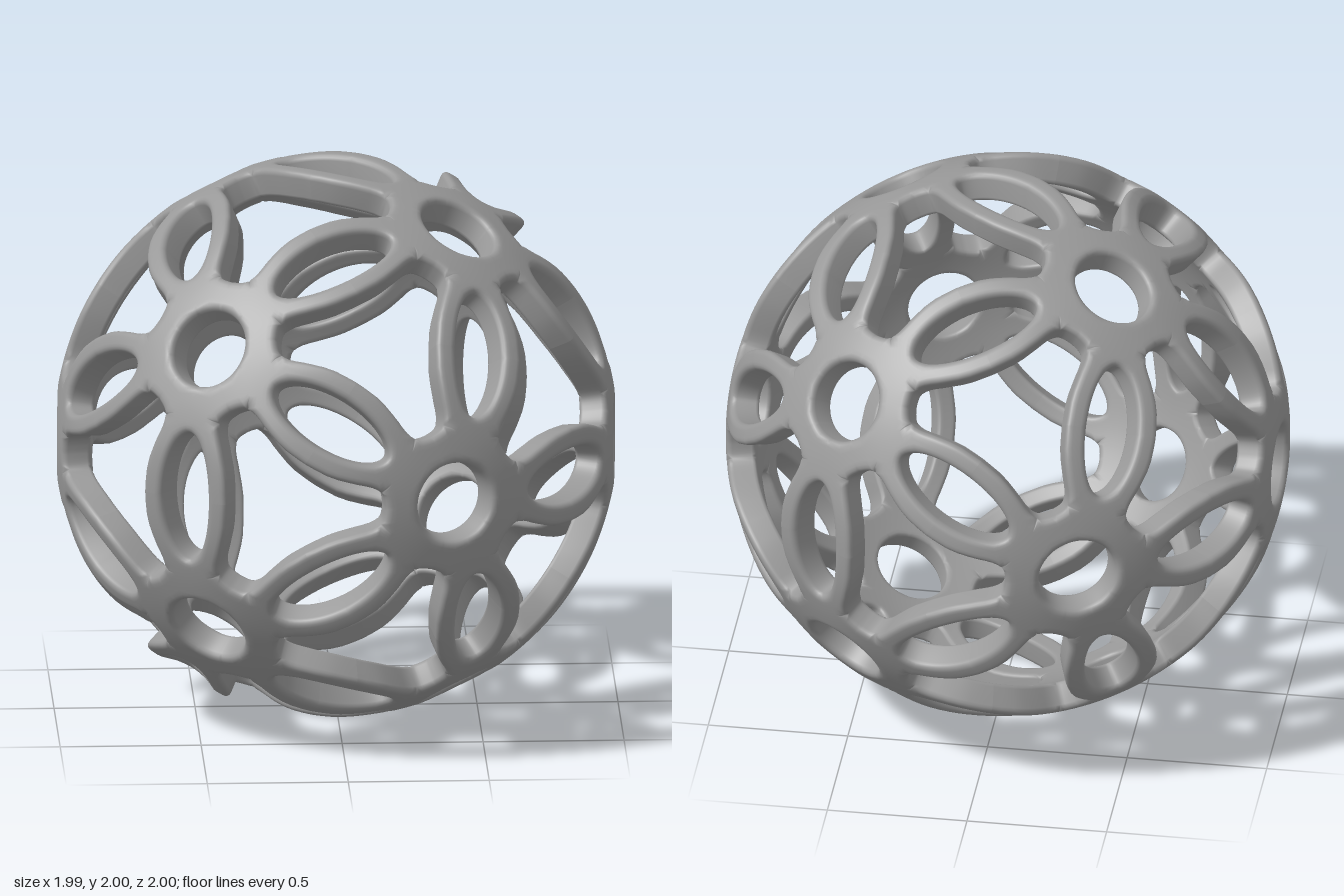
import * as THREE from 'three';
import { mergeVertices } from 'three/addons/utils/BufferGeometryUtils.js';

const OUTER = 1, INNER = 0.895;          // shell radii
const ROUND_OUT = 0.023, ROUND_IN = 0.014; // edge rounding
const HUB = 0.145;                       // hub hole, as an angle
const MID = Math.atan(2) / 2;            // hub centre to petal middle, as an angle
const HOLE_LENGTH = 0.24, HOLE_WIDTH = 0.098;
const ACROSS = [0, 0.03, 0.1, 0.2, 0.33, 0.5, 0.67, 0.8, 0.9, 0.97, 1];

// Plane coordinates: x = angle along the petal from the hub, y = angle to its side.
const P = (a, l) => new THREE.Vector2(a, l);

// Side angle of the line halfway between two petals
const between = (a) => Math.atan(Math.tan(Math.PI / 5) * Math.sin(a));

// Outer edge of one half petal, from between two petals to the petal middle
const edge = new THREE.SplineCurve([
  P(0.216, between(0.216)), P(0.24, 0.128), P(0.264, 0.115),
  P(0.305, 0.119), P(0.365, 0.141), P(0.455, 0.167), P(MID, 0.174),
]);
const NECK_T = 2 / 6;
const neck = edge.getPoint(NECK_T);
const seam = P(0.23, 0);

const hubHole = (phi) => P(
  Math.atan2(Math.sin(HUB) * Math.cos(phi), Math.cos(HUB)),
  Math.asin(Math.sin(HUB) * Math.sin(phi)));
const petalHole = (t) => P(
  MID - HOLE_LENGTH * Math.cos(t), HOLE_WIDTH * Math.pow(Math.sin(t), 1.1));

const steps = (n, f) => Array.from({ length: n + 1 }, (_, i) => f(i / n));
const edgeLine = steps(60, (t) => edge.getPoint(t));
const holeLine = steps(40, (t) => petalHole(t * Math.PI / 2));

function distanceToLine(p, line) {
  let best = Infinity;
  for (let i = 1; i < line.length; i++) {
    const a = line[i - 1], d = line[i].clone().sub(a);
    const t = THREE.MathUtils.clamp(p.clone().sub(a).dot(d) / d.lengthSq(), 0, 1);
    best = Math.min(best, a.clone().addScaledVector(d, t).distanceTo(p));
  }
  return best;
}

// Height lost to a rounded edge at distance d from the border
function rounding(d, f) {
  if (d >= f) return 0;
  const k = 1 - Math.max(d, 0) / f;
  return f * (1 - Math.sqrt(Math.max(0, 1 - k * k)));
}

// Loop of points over the outside and back along the inside, between two borders
function section(from, to, halfway = false) {
  const top = [], bottom = [];
  for (const v of ACROSS) {
    const p = from.clone().lerp(to, v);
    if (halfway) p.y = between(p.x);
    const toHub = Math.acos(Math.min(1, Math.cos(p.x) * Math.cos(p.y))) - HUB;
    let d = Math.min(toHub, distanceToLine(p, edgeLine), distanceToLine(p, holeLine));
    if (d < 1e-4) d = 0;
    // petals are nearly flat across their width, hubs follow the sphere
    const w = 0.75 * THREE.MathUtils.smoothstep(p.x, 0.16, 0.42);
    const flat = 1 / (1 - w * (1 - Math.cos(p.y)));
    const dir = new THREE.Vector3(
      Math.cos(p.y) * Math.sin(p.x), Math.cos(p.y) * Math.cos(p.x), Math.sin(p.y));
    top.push(dir.clone().multiplyScalar((OUTER - rounding(d, ROUND_OUT)) * flat));
    bottom.unshift(dir.multiplyScalar((INNER + rounding(d, ROUND_IN)) * flat));
  }
  return [...top, ...bottom];
}

// Skin a run of sections; open[i] leaves out the wall where hub and petal join
function skin(rows, open, out) {
  const n = rows[0].length;
  for (let i = 0; i + 1 < rows.length; i++) {
    for (let k = 0; k < n; k++) {
      if (open[i] && k === n / 2 - 1) continue;
      const a = rows[i][k], b = rows[i][(k + 1) % n];
      const c = rows[i + 1][(k + 1) % n], d = rows[i + 1][k];
      out.push([a, b, c], [a, c, d]);
    }
  }
}

// Hub ring with five half petals, its axis along +y
function flowerGeometry() {
  const tris = [];
  const nSeam = 5, nHubEdge = 6, nPetal = 9;
  const toSeam = (t) => neck.clone().lerp(seam, t);

  // tenth of the hub
  const hubTo = [...steps(nHubEdge, (t) => edge.getPoint(t * NECK_T)), ...steps(nSeam, toSeam).slice(1)];
  const hubN = hubTo.length - 1;
  skin(hubTo.map((q, i) => section(hubHole((1 - i / hubN) * Math.PI / 5), q, i === 0)),
    hubTo.map((_, i) => i >= nHubEdge), tris);

  // quarter of a petal
  const petalTo = [
    ...steps(nSeam, (t) => toSeam(1 - t)),
    ...steps(nPetal, (t) => edge.getPoint(NECK_T + t * (1 - NECK_T))).slice(1)];
  const split = 0.55;
  skin(petalTo.map((q, i) => {
    const t = i <= nSeam ? split * i / nSeam
      : split + (Math.PI / 2 - split) * (i - nSeam) / nPetal;
    return section(petalHole(t), q);
  }), petalTo.map((_, i) => i < nSeam), tris);

  // mirror and turn five times
  const pos = [], up = new THREE.Vector3(0, 1, 0), v = new THREE.Vector3();
  for (let turn = 0; turn < 5; turn++) {
    for (const side of [1, -1]) {
      for (const [a, b, c] of tris) {
        for (const p of side > 0 ? [a, b, c] : [a, c, b]) {
          v.set(p.x, p.y, p.z * side).applyAxisAngle(up, turn * Math.PI * 0.4);
          pos.push(v.x, v.y, v.z);
        }
      }
    }
  }
  let geo = new THREE.BufferGeometry();
  geo.setAttribute('position', new THREE.Float32BufferAttribute(pos, 3));
  geo = mergeVertices(geo, 1e-4);
  geo.computeVertexNormals();
  return geo;
}

export function createModel() {
  const model = new THREE.Group();
  model.name = 'flowerBall';
  const material = new THREE.MeshStandardMaterial({ color: 0x999999 });
  const geometry = flowerGeometry();

  // twelve flower centres
  const g = (1 + Math.sqrt(5)) / 2;
  const centres = [];
  for (const s of [1, -1]) {
    for (const t of [g, -g]) {
      centres.push(new THREE.Vector3(s, t, 0), new THREE.Vector3(0, s, t), new THREE.Vector3(t, 0, s));
    }
  }
  centres.forEach((c) => c.normalize());

  const ball = new THREE.Group();
  ball.name = 'flowers';
  for (const c of centres) {
    // point one petal at a neighbouring flower
    const next = centres.find((o) => Math.abs(o.dot(c) - 1 / Math.sqrt(5)) < 0.01);
    const x = next.clone().addScaledVector(c, -next.dot(c)).normalize();
    const z = x.clone().cross(c);
    const flower = new THREE.Mesh(geometry, material);
    flower.name = 'flower';
    flower.quaternion.setFromRotationMatrix(new THREE.Matrix4().makeBasis(x, c, z));
    ball.add(flower);
  }
  ball.rotation.y = -0.6155;
  ball.position.y = OUTER;
  model.add(ball);
  return model;
}
